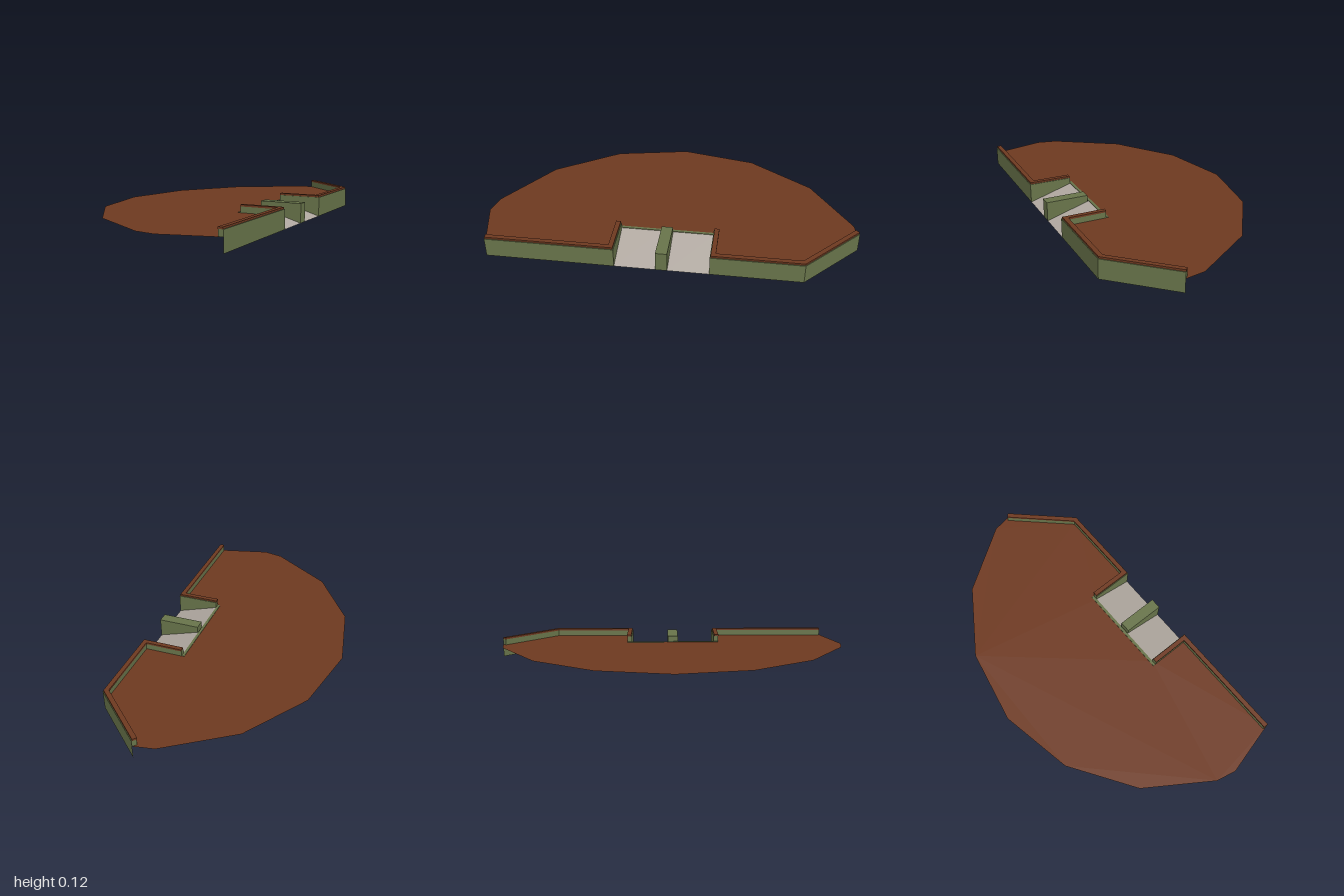
import * as THREE from 'three';

const brown = new THREE.MeshStandardMaterial({ name: 'brown deck', color: 0x6e3920, side: THREE.DoubleSide });
const green = new THREE.MeshStandardMaterial({ name: 'olive wall', color: 0x68744a, side: THREE.DoubleSide });
const grey = new THREE.MeshStandardMaterial({ name: 'pale ramp', color: 0xb0a8a0, side: THREE.DoubleSide });

const DECK = 0.072, RAIL = 0.105, TOP = 0.115, EDGE = 0.53, NOTCH = 0.245, BACK = 0.295;

// Plan outline given as [x, z] points
const plan = pts => new THREE.Shape(pts.map(([x, z]) => new THREE.Vector2(x, -z)));

function add(group, name, geometry, material) {
  const mesh = new THREE.Mesh(geometry, material);
  mesh.name = name;
  group.add(mesh);
  return mesh;
}

// Upright prism over a plan outline
function prism(pts, y0, y1) {
  return new THREE.ExtrudeGeometry(plan(pts), { depth: y1 - y0, bevelEnabled: false })
    .rotateX(-Math.PI / 2).translate(0, y0, 0);
}

// Flat polygon through 3D corners, as a fan
function sheet(corners) {
  const tri = [];
  for (let i = 1; i < corners.length - 1; i++) tri.push(...corners[0], ...corners[i], ...corners[i + 1]);
  const g = new THREE.BufferGeometry();
  g.setAttribute('position', new THREE.Float32BufferAttribute(tri, 3));
  g.computeVertexNormals();
  return g;
}

// Mitred offset of a plan path towards the deck
function offset(path, d) {
  const normals = path.slice(1).map(([x, z], i) => {
    const dx = x - path[i][0], dz = z - path[i][1], l = Math.hypot(dx, dz);
    return [-dz / l, dx / l];
  });
  return path.map(([x, z], i) => {
    const a = normals[Math.max(i - 1, 0)], b = normals[Math.min(i, normals.length - 1)];
    const k = d / (1 + a[0] * b[0] + a[1] * b[1]);
    return [x + (a[0] + b[0]) * k, z + (a[1] + b[1]) * k];
  });
}
const band = (path, inner, outer) => [...offset(path, outer), ...offset(path, inner).reverse()];

export function createModel() {
  const model = new THREE.Group();
  model.name = 'platform';

  // Thin deck with a rounded back and a notch for the ramps
  const deck = [[0.23, -1], [EDGE, -0.72], [EDGE, -NOTCH], [BACK, -NOTCH], [BACK, NOTCH], [EDGE, NOTCH],
    [EDGE, 0.92], [0.23, 0.995], [0.12, 0.972], [-0.225, 0.745], [-0.455, 0.402], [-0.535, 0],
    [-0.455, -0.405], [-0.225, -0.75], [0.12, -0.98]];
  add(model, 'deck', new THREE.ShapeGeometry(plan(deck)).rotateX(-Math.PI / 2).translate(0, DECK, 0), brown);

  // Parapets with brown caps
  const rearPath = [[0.23, -1], [EDGE, -0.72], [EDGE, -NOTCH], [BACK, -NOTCH]];
  const frontPath = [[BACK, NOTCH], [EDGE, NOTCH], [EDGE, 0.92]];
  for (const [side, path] of [['rear', rearPath], ['front', frontPath]]) {
    add(model, side + 'Parapet', prism(band(path, 0, 0.026), DECK, RAIL), green);
    add(model, side + 'ParapetCap', prism(band(path, 0.004, 0.029), RAIL, TOP), brown);
  }

  // Thin retaining walls below the deck edge
  const walls = [[[0.23, -1], [EDGE, -0.72]], [[EDGE, -0.72], [EDGE, -NOTCH]], [[EDGE, NOTCH], [EDGE, 0.92]]];
  for (const [[ax, az], [bx, bz]] of walls) {
    add(model, 'retainingWall', sheet([[bx, 0, bz], [bx, DECK, bz], [ax, DECK, az], [ax, 0, az]]), green);
  }

  // Sloping ramps and the triangular walls beside them
  for (const s of [-1, 1]) {
    const a = Math.min(s * NOTCH, s * 0.03), b = Math.max(s * NOTCH, s * 0.03);
    add(model, 'ramp', sheet([[BACK, DECK, a], [BACK, DECK, b], [EDGE, 0, b], [EDGE, 0, a]]), grey);
    const tri = [[BACK, DECK, s * NOTCH], [EDGE, 0, s * NOTCH], [EDGE, DECK, s * NOTCH]];
    add(model, 'rampSideWall', sheet(s < 0 ? tri : tri.reverse()), green);
  }

  // Divider between the ramps, its underside following the slope
  const profile = new THREE.Shape([[BACK + 0.005, 0.05], [EDGE, 0], [EDGE, RAIL], [BACK + 0.005, RAIL]]
    .map(p => new THREE.Vector2(...p)));
  add(model, 'rampDivider', new THREE.ExtrudeGeometry(profile, { depth: 0.06, bevelEnabled: false })
    .translate(0, 0, -0.03), green);

  // Threshold strip at the head of the ramps
  add(model, 'threshold', prism([[0.28, -0.27], [BACK, -0.27], [BACK, 0.27], [0.28, 0.27]], DECK - 0.002, DECK + 0.003), green);

  return model;
}
